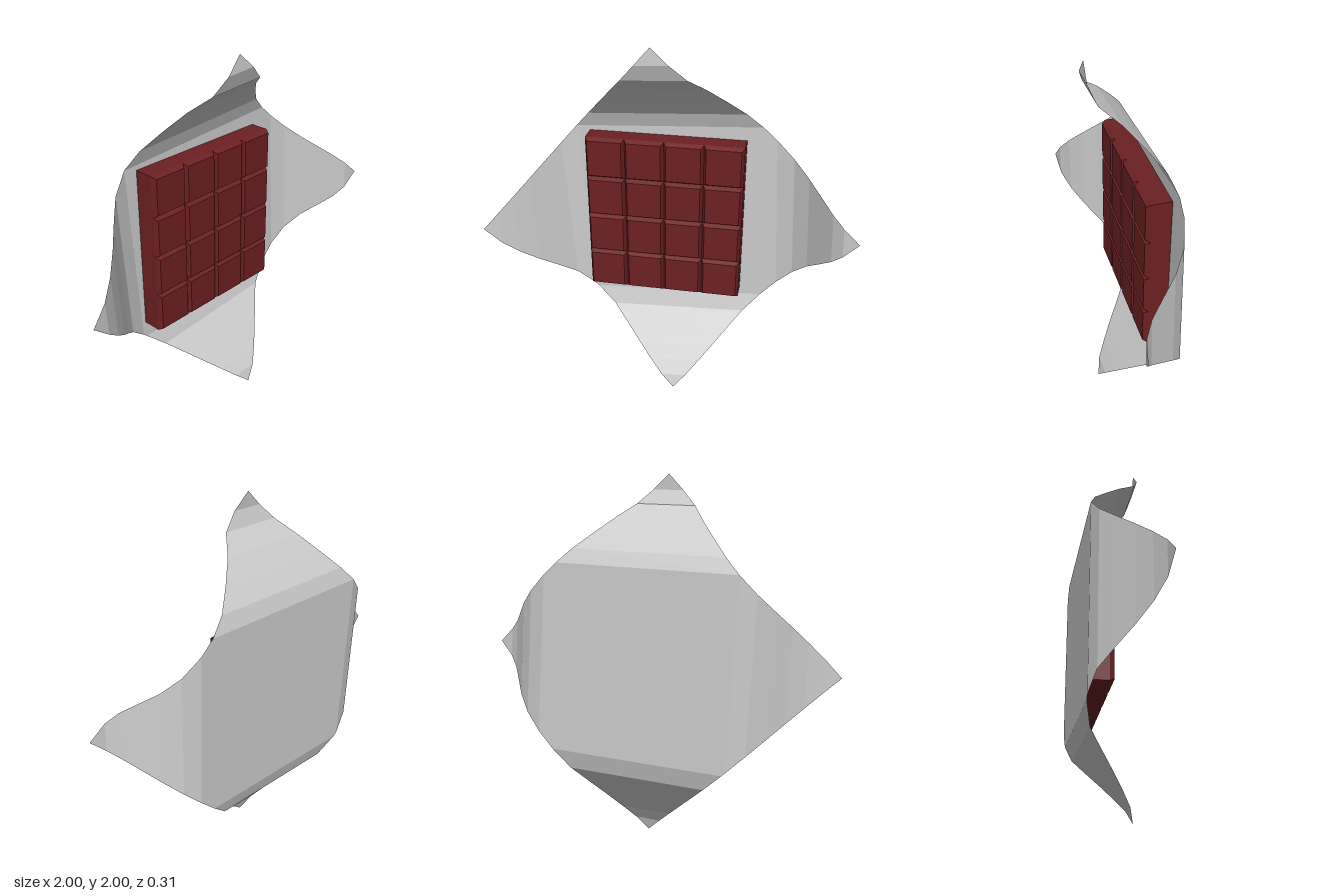
import * as THREE from 'three';

const BACK = -0.16; // depth of the flat part of the wrapper

// Each corner flap: [distance from centre, depth] from fold to tip
const flaps = [
  [[0.57, BACK], [0.66, -0.13], [0.74, -0.065], [0.81, 0.02], [0.865, 0.085], [0.92, 0.125], [1, 0.14]], // +x
  [[0.5, BACK], [0.58, -0.13], [0.67, -0.055], [0.76, 0.03], [0.835, 0.125], [0.915, 0.155], [1, 0.15]], // top
  [[0.5, BACK], [0.59, -0.13], [0.67, -0.06], [0.75, 0.015], [0.83, 0.08], [0.91, 0.125], [1, 0.14]],    // -x
  [[0.52, BACK], [0.62, -0.13], [0.7, -0.065], [0.79, 0.01], [0.86, 0.065], [0.93, 0.115], [1, 0.14]],   // bottom
];

function createWrapper() {
  const positions = [];
  const tri = (...pts) => pts.forEach((p) => positions.push(p.x, p.y, p.z));
  const outline = [];

  flaps.forEach((profile, i) => {
    // Every row spans the width of the square sheet at that distance
    const axis = new THREE.Vector3(0, 0, 1);
    const at = (d, w, z) => new THREE.Vector3(d, w, z).applyAxisAngle(axis, i * Math.PI / 2);
    const rows = profile.map(([d, z]) => [at(d, d - 1, z), at(d, 1 - d, z)]);
    outline.push(...rows[0]);
    for (let r = 0; r < rows.length - 1; r++) {
      const [a, b] = rows[r];
      const [c, e] = rows[r + 1];
      tri(a, c, b);
      if (r < rows.length - 2) tri(c, e, b);
    }
  });

  // Flat middle, bounded by the four folds
  const centre = new THREE.Vector3(0, 0, BACK);
  outline.forEach((p, i) => tri(centre, p, outline[(i + 1) % outline.length]));

  const geometry = new THREE.BufferGeometry();
  geometry.setAttribute('position', new THREE.Float32BufferAttribute(positions, 3));
  geometry.computeVertexNormals();
  const wrapper = new THREE.Mesh(geometry, new THREE.MeshStandardMaterial({
    color: 0xcccccc, side: THREE.DoubleSide, flatShading: true,
  }));
  wrapper.name = 'wrapper';
  wrapper.rotation.z = 0.057;
  return wrapper;
}

// Square with a bevelled front
function pieceGeometry(w, h, depth, inset) {
  const box = new THREE.BoxGeometry(w, h, depth);
  const p = box.attributes.position;
  for (let i = 0; i < p.count; i++) {
    if (p.getZ(i) > 0) {
      p.setX(i, p.getX(i) - Math.sign(p.getX(i)) * inset);
      p.setY(i, p.getY(i) - Math.sign(p.getY(i)) * inset);
    }
  }
  const geometry = box.toNonIndexed();
  geometry.computeVertexNormals();
  return geometry;
}

function createBar() {
  const bar = new THREE.Group();
  bar.name = 'chocolateBar';
  const material = new THREE.MeshStandardMaterial({ color: 0x6d2022 });
  const width = 0.845, height = 0.9, n = 4;
  const front = -0.03, groove = -0.055, back = BACK + 0.002;

  const base = new THREE.Mesh(new THREE.BoxGeometry(width, height, groove - back), material);
  base.name = 'barBase';
  base.position.z = (groove + back) / 2;
  bar.add(base);

  // Grid of squares
  const cw = width / n, ch = height / n;
  const geometry = pieceGeometry(cw, ch, front - groove, 0.014);
  for (let i = 0; i < n; i++) {
    for (let j = 0; j < n; j++) {
      const piece = new THREE.Mesh(geometry, material);
      piece.name = 'chocolateSquare';
      piece.position.set((i - 1.5) * cw, (j - 1.5) * ch, (front + groove) / 2);
      bar.add(piece);
    }
  }
  bar.position.x = -0.032;
  return bar;
}

export function createModel() {
  const model = new THREE.Group();
  model.name = 'unwrappedChocolate';
  const content = new THREE.Group();
  content.name = 'barOnWrapper';
  content.add(createWrapper(), createBar());
  content.position.y = 1;
  model.add(content);
  return model;
}
